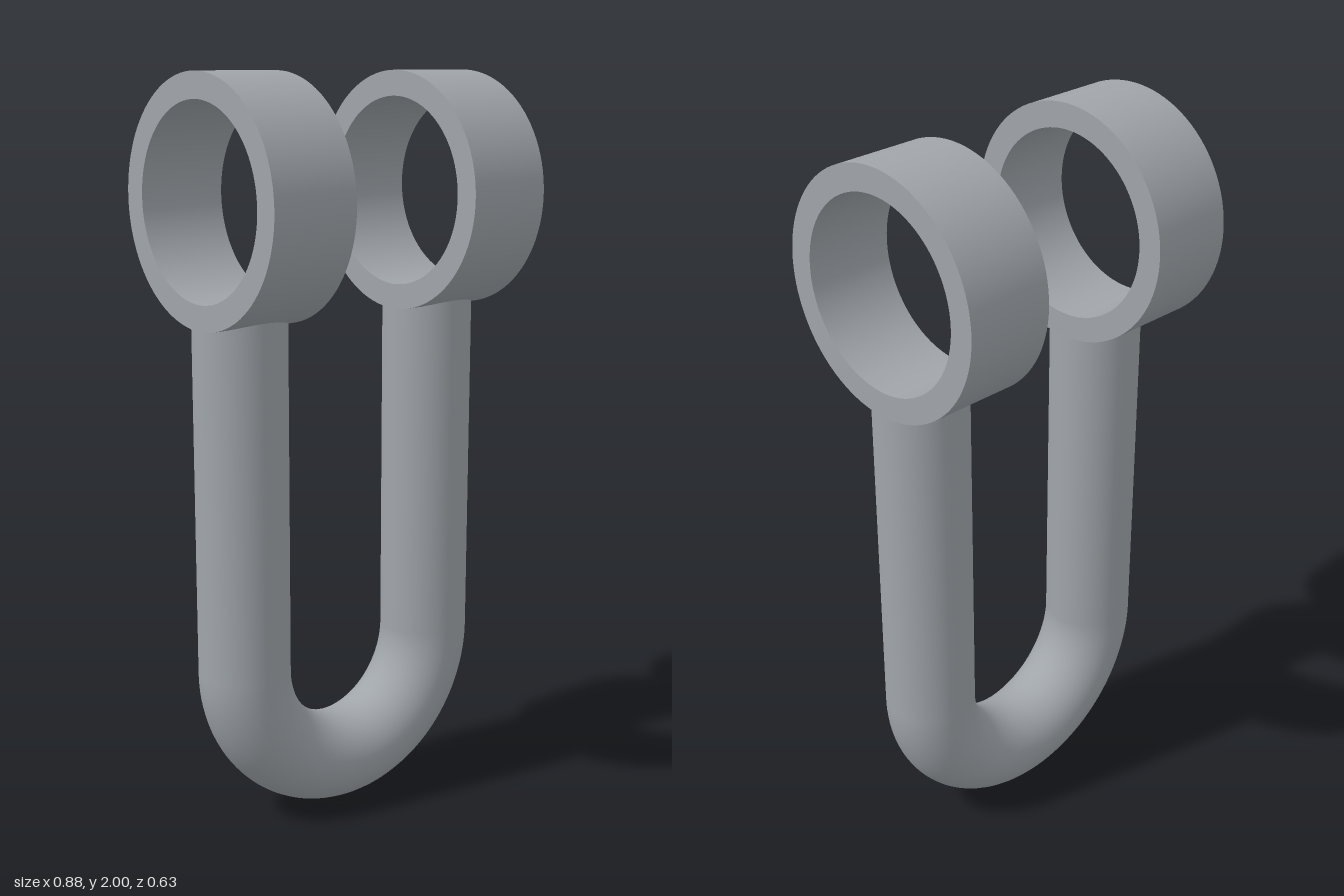
import * as THREE from 'three';
import { toCreasedNormals } from 'three/addons/utils/BufferGeometryUtils.js';

const ROD = 0.123;      // rod radius
const LEG_X = 0.318;    // distance of each leg from the centre
const BEND_Y = 0.441;   // height where the bend meets the legs
const LEG_TOP = 1.41;   // ends inside the wall of the ring
const RING_Y = 1.683, RING_OUT = 0.317, RING_IN = 0.25;

export function createModel() {
  const group = new THREE.Group();
  const steel = new THREE.MeshStandardMaterial({ color: 0xa0a5aa });
  steel.name = 'steelGrey';

  const add = (name, geometry, x, y) => {
    const mesh = new THREE.Mesh(geometry, steel);
    mesh.name = name;
    mesh.position.set(x, y, 0);
    group.add(mesh);
  };

  // U-shaped lower bend
  const bend = new THREE.TorusGeometry(LEG_X, ROD, 48, 64, Math.PI).rotateZ(Math.PI);
  add('bend', bend, 0, BEND_Y);

  // Straight leg
  const legLength = LEG_TOP - BEND_Y;
  const leg = new THREE.CylinderGeometry(ROD, ROD, legLength, 48, 1);

  // Ring with a rectangular section, its axis along x
  const section = [
    [RING_OUT, -ROD], [RING_OUT, ROD], [RING_IN, ROD], [RING_IN, -ROD], [RING_OUT, -ROD],
  ].map(([r, h]) => new THREE.Vector2(r, h));
  const ring = toCreasedNormals(new THREE.LatheGeometry(section, 96), 0.6).rotateZ(Math.PI / 2);

  for (const [side, s] of [['left', 1], ['right', -1]]) {
    add(side + 'Leg', leg, s * LEG_X, BEND_Y + legLength / 2);
    add(side + 'Ring', ring, s * LEG_X, RING_Y);
  }
  return group;
}
